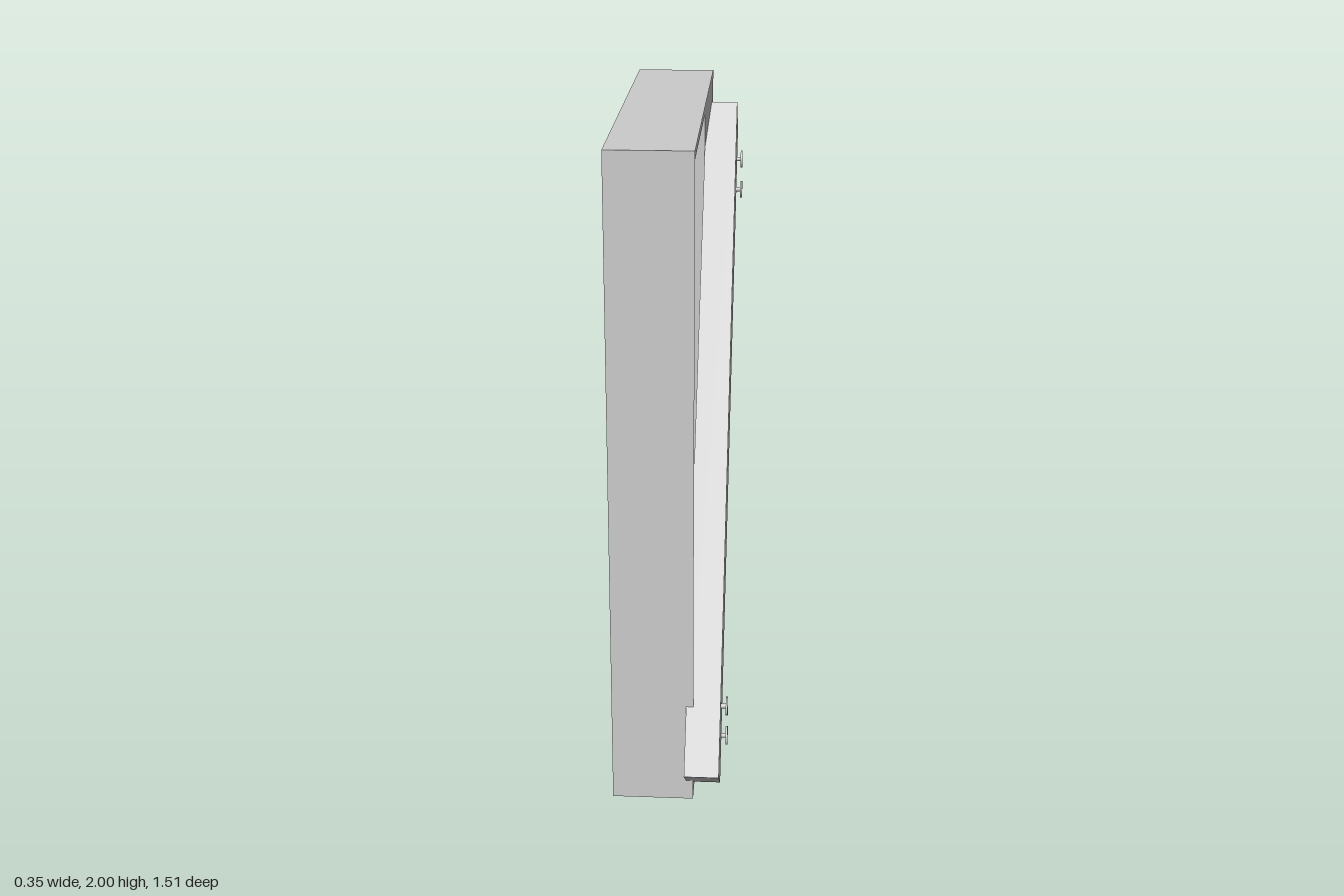
import * as THREE from 'three';

const material = new THREE.MeshStandardMaterial({ color: 0xcccccc, flatShading: true });
const smooth = new THREE.MeshStandardMaterial({ color: 0xcccccc });

function add(parent, name, geometry, mat = material) {
  const mesh = new THREE.Mesh(geometry, mat);
  mesh.name = name;
  parent.add(mesh);
  return mesh;
}

// Mitred frame: a cross-section of [inset, x] swept around a rectangle
function frameGeometry(halfWidth, height, section) {
  const ring = ([inset, x]) => {
    const w = halfWidth - inset, lo = inset, hi = height - inset;
    return [[x, lo, w], [x, lo, -w], [x, hi, -w], [x, hi, w]];
  };
  const pos = [];
  section.forEach((s, i) => {
    const a = ring(s), b = ring(section[(i + 1) % section.length]);
    for (let k = 0; k < 4; k++) {
      const n = (k + 1) % 4;
      pos.push(...a[k], ...a[n], ...b[n], ...a[k], ...b[n], ...b[k]);
    }
  });
  const g = new THREE.BufferGeometry();
  g.setAttribute('position', new THREE.Float32BufferAttribute(pos, 3));
  g.computeVertexNormals();
  return g;
}

// Offset a polyline sideways with mitred corners; reversals become blunt crack tips
function offsetPath(path, h) {
  const pts = path.map(([x, y]) => new THREE.Vector2(x, y));
  const normal = (a, b) => new THREE.Vector2(a.y - b.y, b.x - a.x).normalize();
  const out = [];
  pts.forEach((p, i) => {
    const n1 = i > 0 ? normal(pts[i - 1], p) : normal(p, pts[1]);
    const n2 = i < pts.length - 1 ? normal(p, pts[i + 1]) : n1;
    const d = 1 + n1.dot(n2);
    if (d < 0.01) {
      out.push(p.clone().addScaledVector(n1, h), p.clone().addScaledVector(n2, h));
    } else {
      out.push(p.clone().addScaledVector(n1.clone().add(n2), h / d));
    }
  });
  return out;
}

// Walk out along a side crack and back again
const detour = (crack) => [...crack, ...crack.slice(0, -1).reverse()];

// Crack centre lines as [z, y]
const upper = [[-0.41, 1.9], [-0.34, 1.765], [-0.35, 1.605], [-0.155, 1.425], [-0.205, 1.26],
  [-0.375, 1.1], [-0.255, 0.9], [-0.015, 0.755]];
const middle = [[-0.085, 0.93], [-0.07, 1.16], [0.13, 1.325], [0.025, 1.435], [0.165, 1.62], [-0.035, 1.868]];
const lower = [[0.09, 0.7], [0.23, 0.64]];
const side = [[0.302, 0.745], [0.315, 0.78], [0.485, 0.885], [0.42, 0.997], [0.205, 1.105],
  [0.34, 1.25], [0.315, 1.335], [0.42, 1.457], [0.34, 1.58], [0.455, 1.632]];
const foot = [[0.35, 0.36], [0.19, 0.25]];
const branch = [[0.025, 0.34], [0.195, 0.445], [-0.055, 0.612]];
const end = [[0.125, 0.1]];
const K = upper[upper.length - 1], J = lower[1], F = foot[1];

function shard(path, h, edgeZ) {
  const pts = offsetPath(path, h);
  pts.push(new THREE.Vector2(edgeZ, 0.1), new THREE.Vector2(edgeZ, 1.9));
  const g = new THREE.ExtrudeGeometry(new THREE.Shape(pts), { depth: 0.025, bevelEnabled: false });
  return g.rotateY(-Math.PI / 2).translate(-0.04, 0, 0);
}

export function createModel() {
  const model = new THREE.Group();
  model.name = 'boardedDoor';

  // Frame with faces sloping in toward the opening, on both sides
  add(model, 'frame', frameGeometry(0.6225, 2,
    [[0, 0.07], [0.121, 0.049], [0.121, -0.154], [0, -0.175]])).position.z = 0.006;

  // Thin panel broken in two along the main crack, with side cracks cut in
  const panel = new THREE.Group();
  panel.name = 'crackedPanel';
  model.add(panel);
  const h = 0.0105;
  add(panel, 'panelLeftPiece', shard(
    [...upper, ...detour(middle), K, ...lower, ...detour(side), J, ...foot, ...end], h, 0.52));
  add(panel, 'panelRightPiece', shard(
    [...upper, ...lower, ...foot, ...detour(branch), F, ...end], -h, -0.51));

  // Diagonal plank sunk slightly into the frame
  const plank = add(model, 'plank', new THREE.BoxGeometry(0.103, 2.2, 0.198));
  plank.position.set(0.1, 0.97, 0.001);
  plank.rotation.x = -Math.atan2(1.35, 1.735);

  // Half-driven nails, two at each end of the plank
  for (const [z, y] of [[-0.562, 1.715], [-0.562, 1.612], [0.57, 0.295], [0.57, 0.192]]) {
    const nail = new THREE.Group();
    nail.name = 'nail';
    nail.position.set(0, y, z);
    model.add(nail);
    const cyl = (r, x0, x1) =>
      new THREE.CylinderGeometry(r, r, x1 - x0, 20).rotateZ(-Math.PI / 2).translate((x0 + x1) / 2, 0, 0);
    add(nail, 'nailShaft', cyl(0.007, 0.1, 0.168), smooth);
    add(nail, 'nailHead', cyl(0.028, 0.166, 0.172), smooth);
  }
  return model;
}
